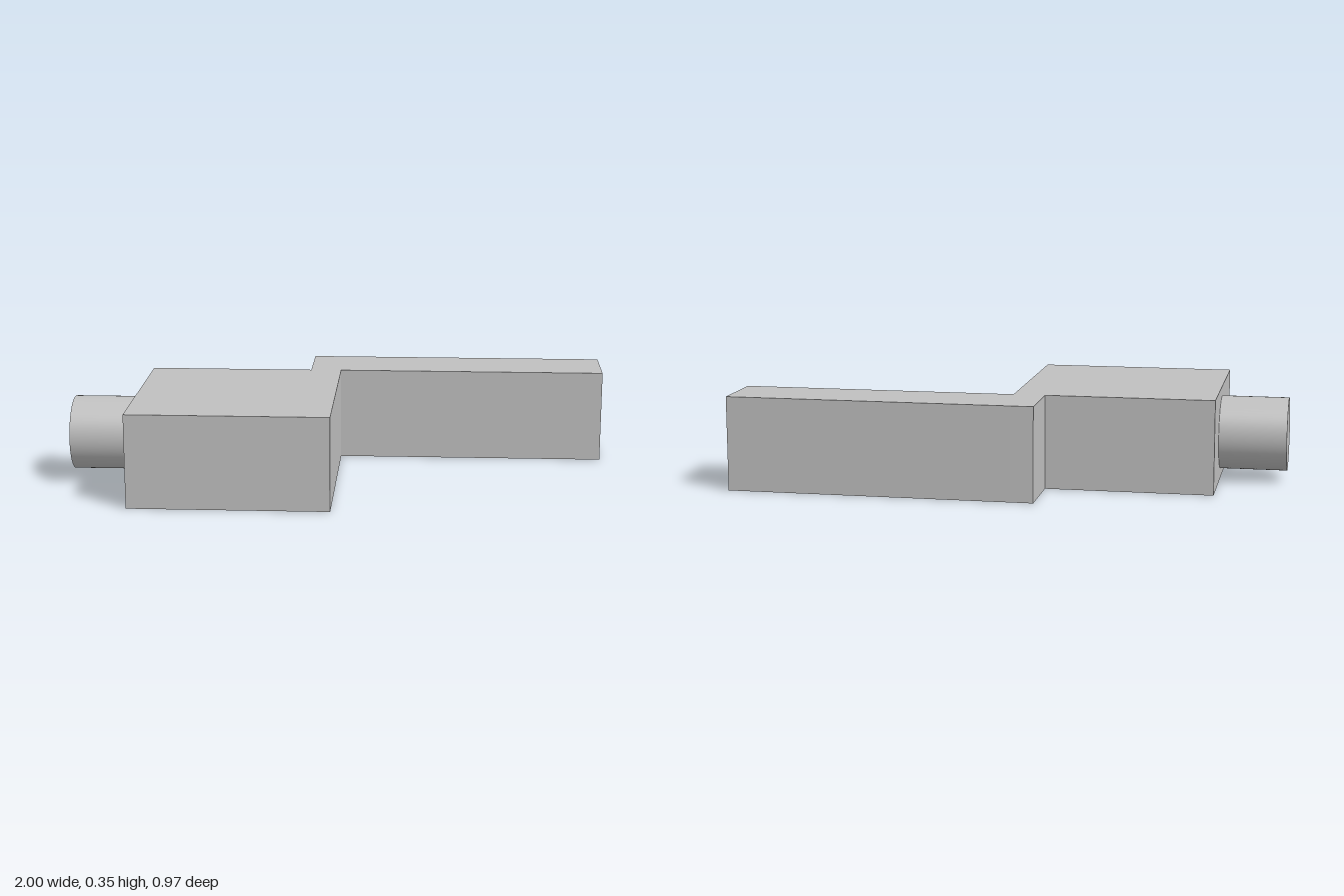
import * as THREE from 'three';

const HEIGHT = 0.348;

export function createModel() {
  const model = new THREE.Group();
  const grey = new THREE.MeshStandardMaterial({ color: 0xc0c0c0 });
  grey.name = 'light grey';

  // Square block with an offset arm, one solid outline given as [x, z]
  const outline = [
    [-0.75, 0.484], [-0.015, 0.484], [-0.015, -0.242], [1, -0.242],
    [1, -0.484], [-0.132, -0.484], [-0.132, -0.242], [-0.75, -0.242],
  ];
  const shape = new THREE.Shape(outline.map(([x, z]) => new THREE.Vector2(x, -z)));
  const bodyGeometry = new THREE.ExtrudeGeometry(shape, { depth: HEIGHT, bevelEnabled: false });
  bodyGeometry.rotateX(-Math.PI / 2);
  const body = new THREE.Mesh(bodyGeometry, grey);
  body.name = 'blockWithArm';
  model.add(body);

  // Round stub on the right side of the block
  const stubGeometry = new THREE.CylinderGeometry(0.137, 0.137, 0.25, 64);
  stubGeometry.rotateZ(Math.PI / 2);
  const stub = new THREE.Mesh(stubGeometry, grey);
  stub.name = 'roundStub';
  stub.position.set(-0.875, HEIGHT / 2, 0.082);
  model.add(stub);

  return model;
}
